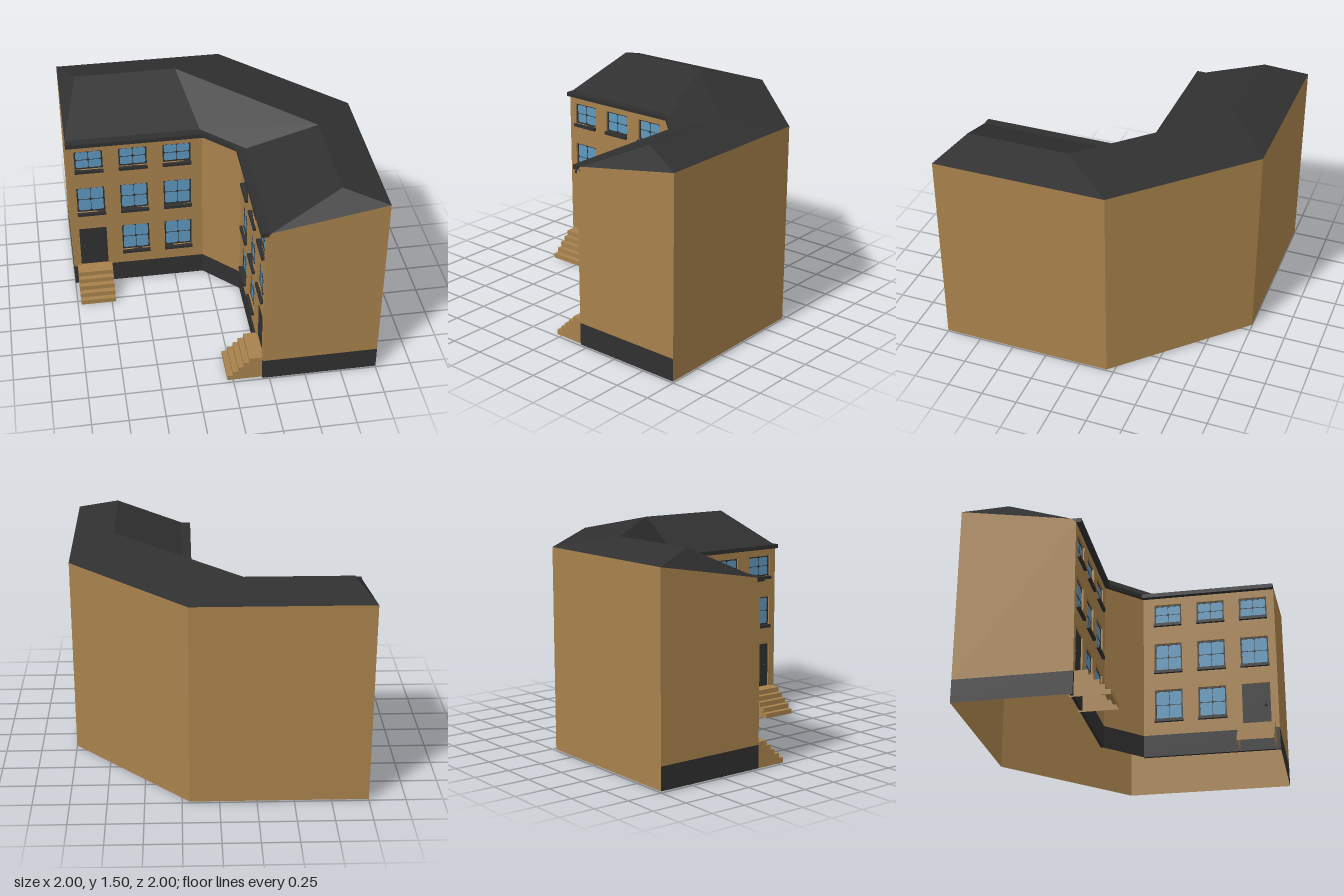
import * as THREE from 'three';

const mat = (name, color) => {
  const m = new THREE.MeshStandardMaterial({ color, side: THREE.DoubleSide });
  m.name = name;
  return m;
};

export function createModel() {
  const brown = mat('brown plaster', 0xa8824c);
  const dark = mat('dark slate', 0x303030);
  const blue = mat('blue glass', 0x5e98be);
  const model = new THREE.Group();
  model.name = 'cornerBuilding';

  const add = (parent, name, geometry, material, x = 0, y = 0, z = 0) => {
    const mesh = new THREE.Mesh(geometry, material);
    mesh.name = name;
    mesh.position.set(x, y, z);
    parent.add(mesh);
    return mesh;
  };
  const box = (parent, name, material, w, h, d, x, y, z) =>
    add(parent, name, new THREE.BoxGeometry(w, h, d), material, x, y, z);

  // Flat convex panel from corners [x, y, z]
  const panel = (name, pts, material) => {
    const v = [];
    for (let i = 1; i < pts.length - 1; i++) v.push(...pts[0], ...pts[i], ...pts[i + 1]);
    const g = new THREE.BufferGeometry();
    g.setAttribute('position', new THREE.Float32BufferAttribute(v, 3));
    g.computeVertexNormals();
    add(model, name, g, material);
  };
  // The plan is symmetric about the diagonal x = -z
  const mirror = ([x, y, z]) => [-z, y, -x];
  const panelPair = (name, pts, material) => {
    panel(name, pts, material);
    panel(name, pts.map(mirror).reverse(), material);
  };

  const base = 0.01, plinth = 0.17, eave = 1.25, gutter = 1.28, top = 1.415, ridge = 1.5;

  // Outer walls
  const upright = (a, b, y0, y1) =>
    [[a[0], y0, a[1]], [b[0], y0, b[1]], [b[0], y1, b[1]], [a[0], y1, a[1]]];
  panelPair('outerWall', upright([0.2, -1], [-1, -1], base, top), brown);
  panel('outerCornerWall', upright([1, -0.2], [0.2, -1], base, top), brown);

  // End walls with plinth
  panelPair('endWall', [[-1, plinth, -1], [-1, plinth, -0.2], [-1, eave, -0.2],
    [-1, gutter, -0.23], [-1, top, -1]], brown);
  panelPair('endPlinth', upright([-1, -1], [-1, -0.2], base, plinth), dark);

  // Inner corner wall
  panel('innerCornerWall', upright([-0.04, -0.2], [0.2, 0.04], plinth, eave), brown);
  panel('innerCornerPlinth', upright([-0.04, -0.2], [0.2, 0.04], base, plinth), dark);

  // Hipped roof
  const A = [-1, top, -1], B = [0.2, top, -1], C = mirror(B);
  const K = [-1, gutter, -0.23], L = [-0.05, gutter, -0.23], M = mirror(L);
  const R1 = [-0.88, ridge, -0.705], R2 = [-0.16, ridge, -0.705], R3 = mirror(R2);
  panelPair('roofBack', [A, R1, R2, B], dark);
  panelPair('roofFront', [K, L, R2, R1], dark);
  panelPair('roofHip', [A, K, R1], dark);
  panel('roofOuterCorner', [B, R2, R3, C], dark);
  panel('roofInnerCorner', [L, M, R3, R2], dark);

  // Eave band that follows the courtyard
  const half = [[-1, -0.165], [-0.035, -0.165]], halfIn = [[-1, -0.23], [-0.05, -0.23]];
  const flip = ([x, z]) => [-z, -x];
  const outline = [...half, ...half.map(flip).reverse(), ...halfIn.map(flip), ...halfIn.slice().reverse()];
  const band = new THREE.ExtrudeGeometry(
    new THREE.Shape(outline.map(([x, z]) => new THREE.Vector2(x, -z))),
    { depth: gutter - eave, bevelEnabled: false });
  band.rotateX(-Math.PI / 2);
  add(model, 'eaveBand', band, dark, 0, eave, 0);

  const rect = (x0, y0, x1, y1, Type = THREE.Path) => new Type(
    [[x0, y0], [x1, y0], [x1, y1], [x0, y1]].map(p => new THREE.Vector2(...p)));
  const rounded = (x0, y0, x1, y1, r) => {
    const p = new THREE.Path();
    p.absarc(x1 - r, y1 - r, r, 0, Math.PI / 2);
    p.absarc(x0 + r, y1 - r, r, Math.PI / 2, Math.PI);
    p.absarc(x0 + r, y0 + r, r, Math.PI, Math.PI * 1.5);
    p.absarc(x1 - r, y0 + r, r, Math.PI * 1.5, Math.PI * 2);
    p.closePath();
    return p;
  };

  // Window: frame with four rounded panes, glass and sill
  const W = 0.2;
  const addWindow = (parent, x, y0, y1) => {
    const win = new THREE.Group();
    win.name = 'window';
    win.position.set(x, (y0 + y1) / 2, -0.2);
    parent.add(win);
    const h = y1 - y0, w2 = W / 2, h2 = h / 2, rim = 0.01, gap = 0.0015;
    const frame = rect(-w2, -h2, w2, h2, THREE.Shape);
    for (const sx of [-1, 1]) for (const sy of [-1, 1]) {
      const xs = [sx * gap, sx * (w2 - rim)].sort((a, b) => a - b);
      const ys = [sy * gap, sy * (h2 - rim)].sort((a, b) => a - b);
      frame.holes.push(rounded(xs[0], ys[0], xs[1], ys[1], 0.015));
    }
    add(win, 'windowFrame', new THREE.ExtrudeGeometry(frame,
      { depth: 0.006, bevelEnabled: false, curveSegments: 4 }), dark, 0, 0, -0.018);
    add(win, 'glass', new THREE.PlaneGeometry(W - 0.01, h - 0.01), blue, 0, 0, -0.015);
    box(win, 'sill', dark, 0.205, 0.022, 0.05, 0, -h2 - 0.011, -0.005);
  };

  // Entrance stairs: hollow, open underneath
  const addStairs = (parent, x) => {
    const stairs = new THREE.Group();
    stairs.name = 'stairs';
    parent.add(stairs);
    const n = 5, rise = 0.036, run = 0.0375, width = 0.255, front = 0.04, back = -0.23;
    const side = [new THREE.Vector2(back, 0), new THREE.Vector2(front, 0)];
    for (let i = 0; i < n; i++) {
      const z0 = front - i * run, z1 = i === n - 1 ? back : z0 - run, y = (i + 1) * rise;
      side.push(new THREE.Vector2(z0, y), new THREE.Vector2(z1, y));
      add(stairs, 'riser', new THREE.PlaneGeometry(width, rise), brown, x, y - rise / 2, z0);
      const tread = new THREE.PlaneGeometry(width, z0 - z1).rotateX(-Math.PI / 2);
      add(stairs, 'tread', tread, brown, x, y, (z0 + z1) / 2);
    }
    for (const s of [-1, 1]) {
      const g = new THREE.ShapeGeometry(new THREE.Shape(side)).rotateY(-Math.PI / 2);
      add(stairs, 'stairSide', g, brown, x + s * width / 2, 0, 0);
    }
  };

  // Courtyard facade, s = 1 or -1 sets which end the door is at
  const columns = [-0.845, -0.533, -0.22];
  const rows = [[0.287, 0.515], [0.664, 0.88], [1.04, 1.195]];
  const addFacade = (s) => {
    const facade = new THREE.Group();
    facade.name = 'courtyardFacade';
    model.add(facade);
    const wall = rect(Math.min(-s, -0.04 * s), plinth, Math.max(-s, -0.04 * s), eave, THREE.Shape);
    columns.forEach((cx, i) => rows.forEach(([y0, y1], j) => {
      const x = s * cx, isDoor = i === 0 && j === 0, low = isDoor ? 0.18 : y0;
      wall.holes.push(rect(x - W / 2, low, x + W / 2, y1));
      if (!isDoor) return addWindow(facade, x, y0, y1);
      box(facade, 'door', dark, W, y1 - low, 0.008, x, (low + y1) / 2, -0.215);
      const knob = new THREE.SphereGeometry(0.01, 10, 8);
      add(facade, 'doorKnob', knob, dark, x - s * 0.065, 0.345, -0.206);
    }));
    add(facade, 'facadeWall', new THREE.ExtrudeGeometry(wall,
      { depth: 0.02, bevelEnabled: false }), brown, 0, 0, -0.22);
    box(facade, 'facadePlinth', dark, 0.96, plinth - base, 0.02, -0.52 * s, (plinth + base) / 2, -0.21);
    addStairs(facade, -0.8475 * s);
    return facade;
  };
  addFacade(1);
  addFacade(-1).rotation.y = -Math.PI / 2;

  return model;
}
